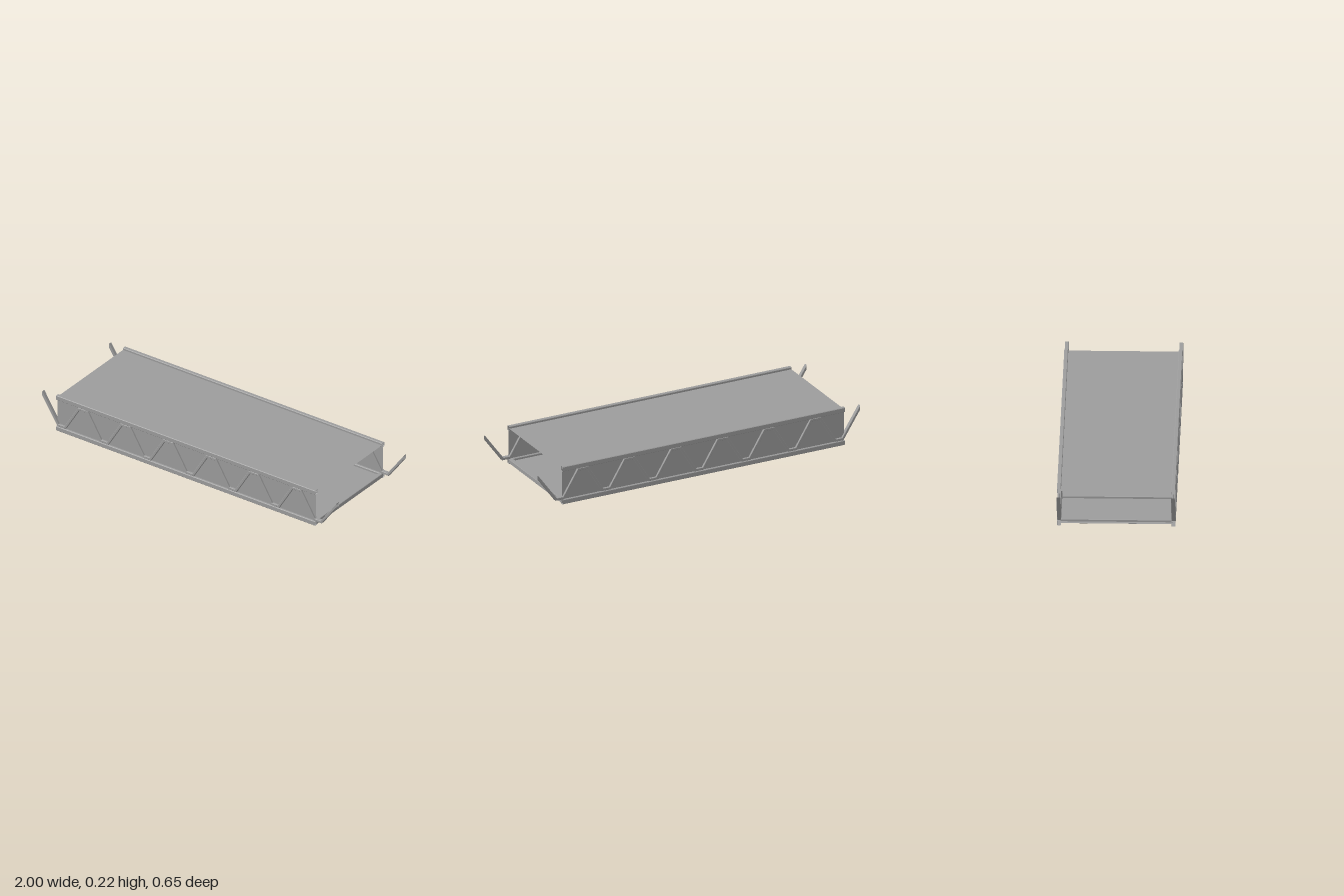
import * as THREE from 'three';

const X0 = -0.905, X1 = 0.853, SIDE_Z = 0.3155, BAR = 0.0225;

const material = new THREE.MeshStandardMaterial({ color: 0x9c9c9c, flatShading: true, side: THREE.DoubleSide });

function part(name, geometry, x = 0, y = 0, z = 0) {
  const mesh = new THREE.Mesh(geometry, material);
  mesh.name = name;
  mesh.position.set(x, y, z);
  return mesh;
}

// Rectangle with small chamfered corners
function chamferedRect(w, h, c) {
  const a = w / 2, b = h / 2;
  return [
    [-a + c, -b], [a - c, -b], [a, -b + c], [a, b - c],
    [a - c, b], [-a + c, b], [-a, b - c], [-a, -b + c],
  ].map(([x, y]) => new THREE.Vector2(x, y));
}

// Open-ended tube along a bent line in x and y, mitred at bends and cut upright at the ends.
// The section's x runs across the line, its y along z.
function openTube(path, section) {
  const points = path.map(([x, y]) => new THREE.Vector2(x, y));
  const last = points.length - 1, n = section.length;
  const normal = (a, b) => {
    const d = b.clone().sub(a).normalize();
    return new THREE.Vector2(-d.y, d.x);
  };
  const positions = [], index = [];
  points.forEach((p, i) => {
    const n0 = normal(points[Math.max(i - 1, 0)], points[Math.max(i, 1)]);
    const n1 = normal(points[Math.min(i, last - 1)], points[Math.min(i + 1, last)]);
    const miter = i === 0 || i === last ? new THREE.Vector2(0, 1) : n0.clone().add(n1).normalize();
    miter.divideScalar(miter.dot(n0));
    section.forEach((s, j) => {
      positions.push(p.x + miter.x * s.x, p.y + miter.y * s.x, s.y);
      if (i === last) return;
      const a = i * n + j, b = i * n + (j + 1) % n;
      index.push(a, b, a + n, b, b + n, a + n);
    });
  });
  const indexed = new THREE.BufferGeometry();
  indexed.setAttribute('position', new THREE.Float32BufferAttribute(positions, 3));
  indexed.setIndex(index);
  const geometry = indexed.toNonIndexed();
  geometry.computeVertexNormals();
  return geometry;
}

// Zigzag centre line with flat crests and feet and raised free ends
function latticePath() {
  const low = 0.038, high = 0.19, pitch = 0.29;
  const path = [[-1, 0.205], [-0.893, low]];
  for (let i = 0; i < 6; i++) {
    const foot = -0.87 + i * pitch, crest = foot + pitch / 2;
    path.push([foot + 0.024, low], [crest - 0.028, high], [crest + 0.028, high], [foot + pitch - 0.024, low]);
  }
  path.push([0.893, low], [1, 0.183]);
  return path;
}

export function createModel() {
  const model = new THREE.Group();
  model.name = 'trussSpan';
  const length = X1 - X0, midX = (X0 + X1) / 2;
  const lowY = 0.015, topY = 0.212;

  // Thin deck above and floor below
  const sheet = new THREE.PlaneGeometry(length, SIDE_Z * 2).rotateX(-Math.PI / 2);
  model.add(part('deck', sheet, midX, topY, 0), part('floor', sheet, midX, lowY, 0));

  // Cross ribs in the floor, one at each lattice foot and at both ends
  const ribShape = new THREE.Shape(chamferedRect(0.025, 0.025, 0.002));
  const rib = new THREE.ExtrudeGeometry(ribShape, { depth: 0.626, bevelEnabled: false }).translate(0, 0, -0.313);
  for (let i = 0; i < 7; i++) {
    const x = THREE.MathUtils.clamp(-0.87 + i * 0.29, X0 + 0.0125, X1 - 0.0125);
    model.add(part('floorRib', rib, x, lowY, 0));
  }

  // Side trusses: chords, wall sheet and bent lattice bar
  const chord = openTube([[X0, 0], [X1, 0]], chamferedRect(0.028, BAR, 0.003));
  const wall = new THREE.PlaneGeometry(length, topY - lowY);
  const lattice = openTube(latticePath(), chamferedRect(0.015, BAR, 0.002));
  for (const s of [1, -1]) {
    const truss = new THREE.Group();
    truss.name = s > 0 ? 'frontTruss' : 'backTruss';
    truss.position.z = s * SIDE_Z;
    truss.add(
      part('lowerChord', chord, 0, 0.014, 0),
      part('upperChord', chord, 0, 0.211, 0),
      part('sideWall', wall, midX, (topY + lowY) / 2, 0),
      part('latticeBar', lattice),
    );
    model.add(truss);
  }
  return model;
}
